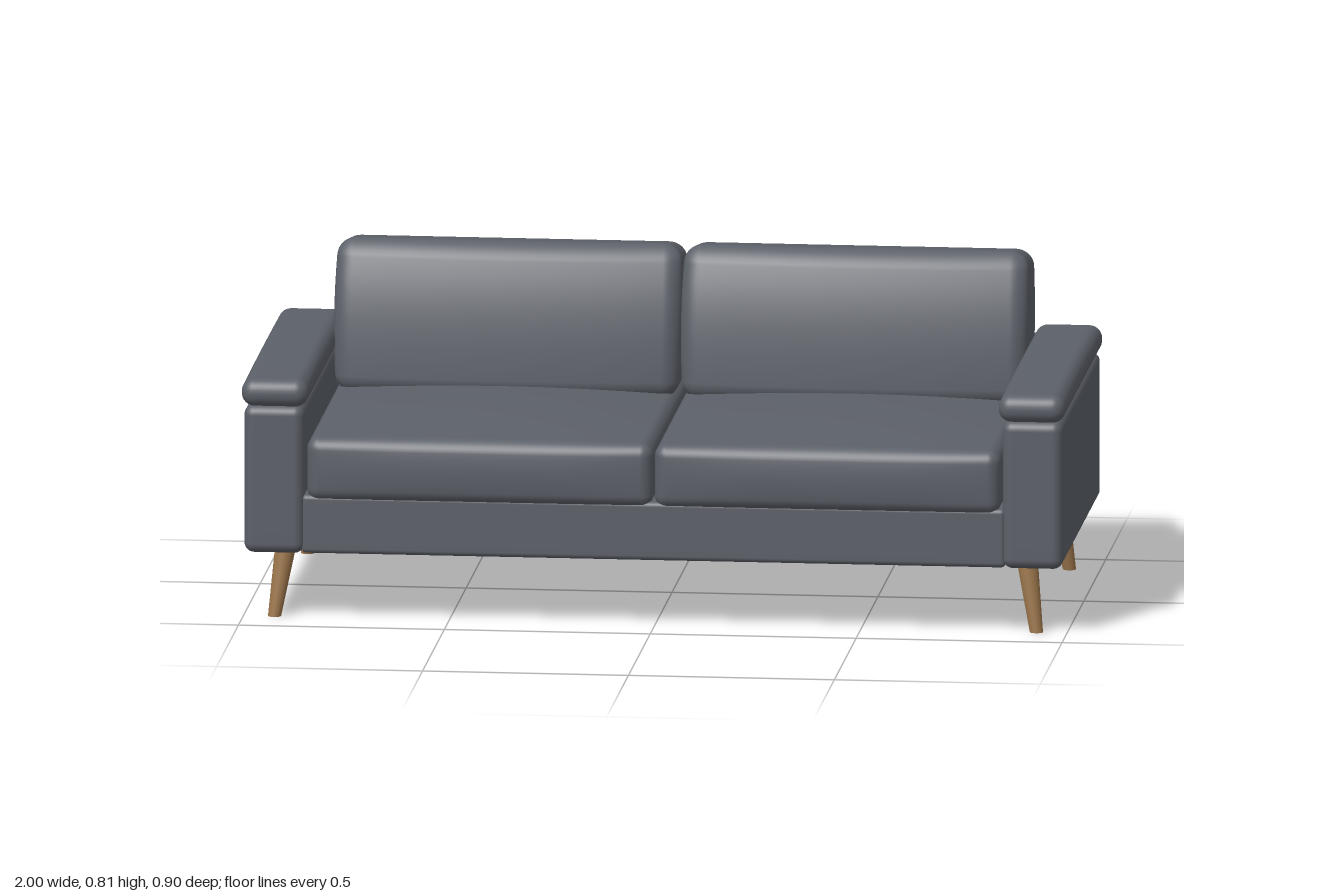
import * as THREE from 'three';
import { mergeVertices } from 'three/addons/utils/BufferGeometryUtils.js';

const fabric = new THREE.MeshStandardMaterial({ color: 0x5c6068 });
fabric.name = 'greyFabric';
const wood = new THREE.MeshStandardMaterial({ color: 0x9c764c });
wood.name = 'oakWood';

// Rounded box with a subdivided middle, so that it can be padded by a rule.
function softBox(size, radius, deform) {
  const round = 4, flat = 8, n = 2 * round + flat;
  const half = size.map((s) => s / 2);
  let geo = new THREE.BoxGeometry(2, 2, 2, n, n, n);
  geo.deleteAttribute('uv');
  geo.deleteAttribute('normal');
  geo = mergeVertices(geo, 1e-4);
  const pos = geo.attributes.position;
  const inner = new THREE.Vector3(), offset = new THREE.Vector3();
  for (let i = 0; i < pos.count; i++) {
    for (let a = 0; a < 3; a++) {
      const core = half[a] - radius;
      const k = pos.getComponent(i, a) * n / 2; // step counted from the middle
      const over = Math.max(0, Math.abs(k) - flat / 2) / round;
      inner.setComponent(a, core * THREE.MathUtils.clamp(k / (flat / 2), -1, 1));
      offset.setComponent(a, Math.sign(k) * Math.tan(over * Math.PI / 4));
    }
    inner.addScaledVector(offset.normalize(), radius);
    if (deform) deform(inner, inner.x / half[0], inner.y / half[1], inner.z / half[2]);
    pos.setXYZ(i, inner.x, inner.y, inner.z);
  }
  geo.computeVertexNormals();
  return geo;
}

// Adds a soft part given its limits along each axis.
function addPart(group, name, [x0, x1], [y0, y1], [z0, z1], radius, deform) {
  const mesh = new THREE.Mesh(softBox([x1 - x0, y1 - y0, z1 - z0], radius, deform), fabric);
  mesh.name = name;
  mesh.position.set((x0 + x1) / 2, (y0 + y1) / 2, (z0 + z1) / 2);
  group.add(mesh);
}

// Seat cushion: crowned top and slightly bulging front
function padSeat(p, u, v, w) {
  if (v > 0) p.y += 0.022 * v * (1 - u * u) * (1 - w * w);
  if (w > 0) p.z += 0.01 * w * (1 - v * v) * (1 - u ** 4);
}

// Back cushion: front leans back towards the top, the top falls to the rear
function padBack(p, u, v, w) {
  const t = (v + 1) / 2;
  const front = -0.16 - 0.02 * t - 0.062 * t ** 3 + 0.02 * (1 - u * u);
  const back = -0.385 - 0.028 * t;
  p.z = THREE.MathUtils.lerp(back, front, (w + 1) / 2);
  p.y -= 0.16 * t * Math.max(0, -0.26 - p.z);
  p.x += 0.006 * u * (1 - v * v);
}

export function createModel() {
  const sofa = new THREE.Group();
  sofa.name = 'sofa';

  // Frame
  addPart(sofa, 'base', [-0.855, 0.855], [0.166, 0.31], [-0.44, 0.432], 0.012);
  addPart(sofa, 'backPanel', [-0.855, 0.855], [0.166, 0.57], [-0.447, -0.385], 0.012);

  for (const side of [-1, 1]) {
    const label = side > 0 ? 'left' : 'right';
    const span = (a, b) => (side > 0 ? [a, b] : [-b, -a]);

    // Arm with its padded rest
    addPart(sofa, label + 'Arm', span(0.848, 0.994), [0.165, 0.528], [-0.446, 0.441], 0.024);
    addPart(sofa, label + 'ArmPad', span(0.838, 1), [0.526, 0.593], [-0.45, 0.45], 0.031,
      (p, u, v, w) => { if (v > 0) p.y += 0.005 * v * (1 - w * w); });

    // Cushions
    addPart(sofa, label + 'SeatCushion', span(0.002, 0.842), [0.295, 0.452], [-0.39, 0.441], 0.03, padSeat);
    const cushion = new THREE.Mesh(softBox([0.832, 0.366, 0.25], 0.042, padBack), fabric);
    cushion.name = label + 'BackCushion';
    cushion.position.set(side * 0.421, 0.623, 0);
    sofa.add(cushion);

    // Tapered legs, splayed outwards with level ends
    for (const end of [-1, 1]) {
      const geo = new THREE.CylinderGeometry(0.026, 0.016, 0.175, 24);
      geo.translate(0, 0.0875, 0);
      geo.applyMatrix4(new THREE.Matrix4().set(
        1, -side * 0.145, 0, side * 0.925,
        0, 1, 0, 0,
        0, -end * 0.15, 1, end * 0.379,
        0, 0, 0, 1));
      const leg = new THREE.Mesh(geo, wood);
      leg.name = label + (end > 0 ? 'FrontLeg' : 'BackLeg');
      sofa.add(leg);
    }
  }
  return sofa;
}
